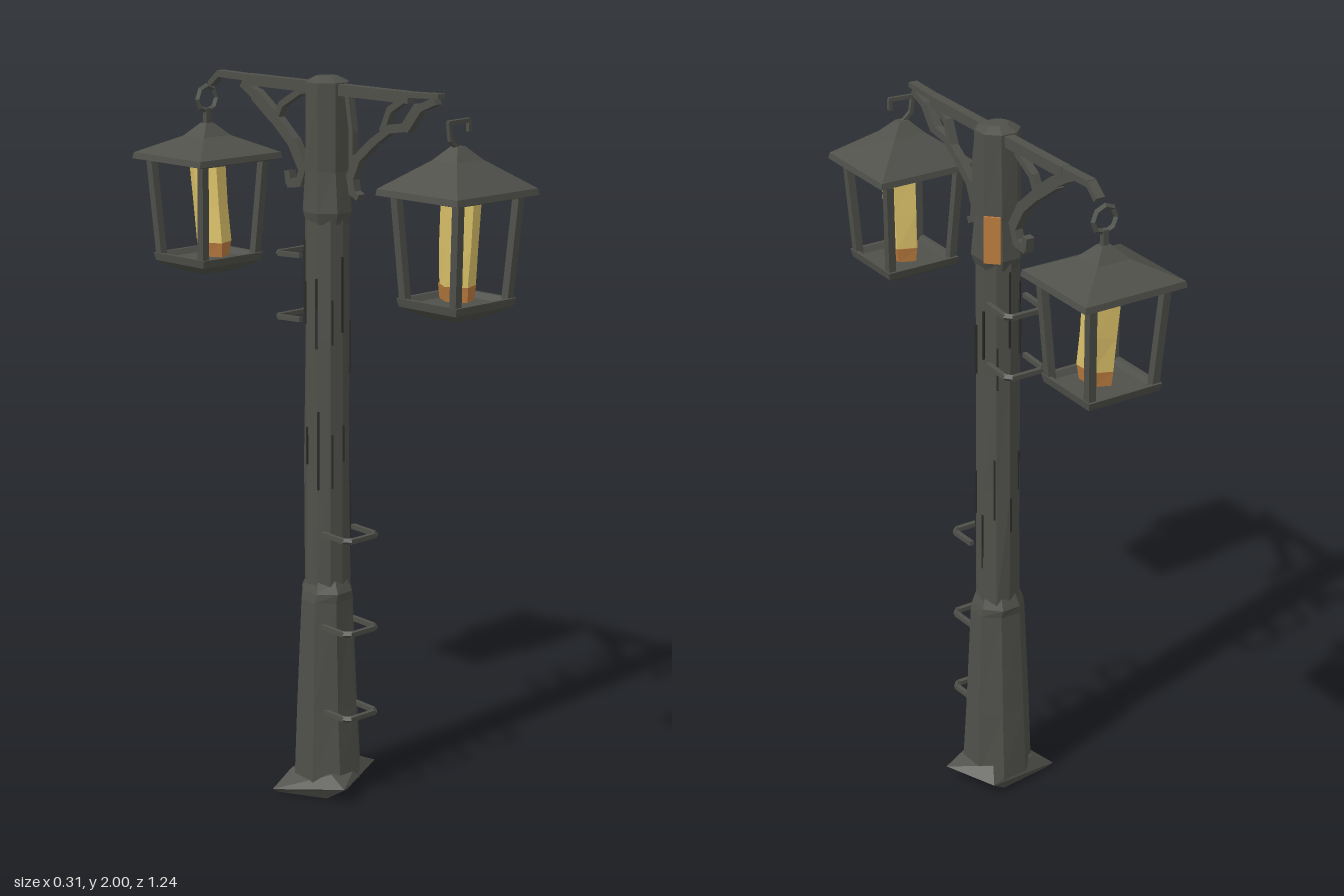
import * as THREE from 'three';

const iron = new THREE.MeshStandardMaterial({ color: 0x4f504a, name: 'darkIron', flatShading: true });
const crack = new THREE.MeshStandardMaterial({ color: 0x2b2c28, name: 'crackBlack', flatShading: true });
const glow = new THREE.MeshStandardMaterial({ color: 0xdcc269, name: 'glowYellow', flatShading: true, side: THREE.DoubleSide });
const amber = new THREE.MeshStandardMaterial({ color: 0xb87a3e, name: 'amber', flatShading: true, side: THREE.DoubleSide });

let seed = 7;
const rand = () => ((seed = (seed * 16807) % 2147483647) / 2147483647) * 2 - 1;

function add(parent, name, geometry, material = iron) {
  const mesh = new THREE.Mesh(geometry, material);
  mesh.name = name;
  parent.add(mesh);
  return mesh;
}

// Skins a stack of rings (bottom to top, each counter-clockwise from above) and caps both ends
function loft(rings) {
  const pos = [];
  const tri = (a, b, c) => pos.push(...a, ...b, ...c);
  const n = rings[0].length;
  const mid = (r) => [0, 1, 2].map((k) => r.reduce((s, p) => s + p[k], 0) / n);
  const last = rings[rings.length - 1];
  const low = mid(rings[0]), high = mid(last);
  for (let i = 0; i < n; i++) {
    const j = (i + 1) % n;
    for (let r = 0; r + 1 < rings.length; r++) {
      const a = rings[r], b = rings[r + 1];
      tri(a[i], a[j], b[j]);
      tri(a[i], b[j], b[i]);
    }
    tri(low, rings[0][j], rings[0][i]);
    tri(high, last[i], last[j]);
  }
  const g = new THREE.BufferGeometry();
  g.setAttribute('position', new THREE.Float32BufferAttribute(pos, 3));
  g.computeVertexNormals();
  return g;
}

// Rough round ring and rectangular ring
function ring(n, y, rx, rz, jitter = 0, cx = 0, cz = 0) {
  return Array.from({ length: n }, (_, i) => {
    const a = ((i + 0.5) / n) * Math.PI * 2, k = 1 + rand() * jitter;
    return [cx + Math.cos(a) * rx * k, y, cz - Math.sin(a) * rz * k];
  });
}
const rect = (y, hx, hz, cx = 0, cz = 0) =>
  [[1, -1], [-1, -1], [-1, 1], [1, 1]].map(([x, z]) => [cx + x * hx, y, cz + z * hz]);

// Straight bar between two points, and a chain of them
function bar(parent, name, a, b, w, d = w) {
  const p = new THREE.Vector3(...a), q = new THREE.Vector3(...b);
  const dir = q.clone().sub(p);
  const m = add(parent, name, new THREE.BoxGeometry(w, dir.length() + d * 0.4, d));
  m.position.copy(p).add(q).multiplyScalar(0.5);
  m.quaternion.setFromUnitVectors(new THREE.Vector3(0, 1, 0), dir.normalize());
}
function chain(parent, name, pts, w, depths) {
  for (let i = 0; i + 1 < pts.length; i++) {
    bar(parent, name, pts[i], pts[i + 1], w, Array.isArray(depths) ? depths[i] : depths);
  }
}

function makePost() {
  const post = new THREE.Group();
  post.name = 'post';
  // Skewed foot slab
  add(post, 'foot', loft([
    [[0.03, 0, -0.08], [-0.13, 0, -0.06], [-0.07, 0, 0.07], [0.02, 0, 0.06]],
    [[0.08, 0.04, -0.105], [-0.15, 0.012, -0.065], [-0.07, 0.045, 0.14], [0.15, 0.05, 0.04]],
    [[0.06, 0.08, -0.07], [-0.08, 0.06, -0.06], [-0.06, 0.07, 0.08], [0.08, 0.08, 0.05]],
  ]));
  // Flared lower shaft with a collar
  add(post, 'lowerShaft', loft([
    ring(8, 0.04, 0.1, 0.1, 0.04), ring(8, 0.25, 0.09, 0.087, 0.03),
    ring(8, 0.56, 0.078, 0.072, 0.03), ring(8, 0.585, 0.072, 0.076, 0.04), ring(8, 0.62, 0.06, 0.06),
  ]));
  // Upper shaft
  add(post, 'upperShaft', loft([
    ring(10, 0.58, 0.063, 0.064, 0.05), ring(10, 0.95, 0.061, 0.062, 0.05),
    ring(10, 1.3, 0.06, 0.061, 0.05), ring(10, 1.63, 0.06, 0.062, 0.04),
  ]));
  // Head block
  add(post, 'head', loft([
    ring(8, 1.61, 0.06, 0.063), ring(8, 1.64, 0.069, 0.072, 0.03),
    ring(8, 1.75, 0.062, 0.062, 0.02), ring(8, 1.985, 0.062, 0.06, 0.02), ring(8, 2, 0.03, 0.03),
  ]));
  // Rust patch on the head
  const patch = add(post, 'rustPatch', new THREE.BoxGeometry(0.045, 0.13, 0.008), amber);
  patch.position.set(0.0475, 1.7, -0.0475);
  patch.rotation.y = Math.PI * 0.75;
  // Dark cracks running down the shaft
  for (let i = 0; i < 20; i++) {
    const a = ((i % 10) / 10) * Math.PI * 2 + rand() * 0.1;
    const y = (i < 10 ? 0.88 : 1.35) + rand() * 0.15;
    const c = add(post, 'crack', new THREE.BoxGeometry(0.005, 0.16 + 0.06 * rand(), 0.009), crack);
    c.position.set(Math.sin(a) * 0.0595, y, Math.cos(a) * 0.0595);
    c.rotation.y = a;
  }
  return post;
}

function makeLantern(apex, lean) {
  const g = new THREE.Group();
  // Roof with overhanging eaves and a raised centre
  add(g, 'lanternRoof', loft([
    rect(1.725, 0.118, 0.112), rect(1.733, 0.153, 0.143), rect(1.75, 0.15, 0.14),
    rect(apex - 0.035, 0.05, 0.043), rect(apex, 0.014, 0.012),
  ]));
  // Tray with a tapered underside
  add(g, 'lanternTray', loft([
    rect(1.418, 0.062, 0.055), rect(1.445, 0.108, 0.1), rect(1.467, 0.112, 0.107), rect(1.467, 0.1, 0.095),
    rect(1.452, 0.09, 0.086),
  ]));
  // Corner bars
  for (const x of [-1, 1]) for (const z of [-1, 1]) {
    bar(g, 'cornerBar', [x * 0.097, 1.455, z * 0.088], [x * 0.112, 1.73, z * 0.108], 0.022);
  }
  // Glowing core, with an amber foot
  add(g, 'glowCore', loft([
    ring(5, 1.5, 0.046, 0.054, 0.06, 0.008, -lean),
    ring(5, 1.6, 0.048, 0.058, 0.04, 0.008),
    ring(5, 1.725, 0.05, 0.06, 0.04, 0.008, lean),
  ]), glow);
  add(g, 'glowFoot', loft([
    ring(5, 1.46, 0.04, 0.052, 0, 0.008, -lean), ring(5, 1.5, 0.047, 0.056, 0, 0.008, -lean),
  ]), amber);
  return g;
}

export function createModel() {
  const model = new THREE.Group();
  model.add(makePost());

  // Crossarm, tapering toward both tips
  add(model, 'crossarm', new THREE.BoxGeometry(0.028, 0.03, 0.62)).position.set(0, 1.967, 0);
  bar(model, 'armTip', [0, 1.974, 0.29], [0, 1.979, 0.415], 0.026, 0.014);
  chain(model, 'armTip', [[0, 1.972, -0.29], [0, 1.974, -0.42], [0, 1.945, -0.455]], 0.026, [0.018, 0.016]);

  // Curled brackets under the arm
  chain(model, 'frontBracket', [
    [0, 1.965, 0.4], [0, 1.94, 0.34], [0, 1.89, 0.3], [0, 1.88, 0.24], [0, 1.84, 0.18],
    [0, 1.79, 0.12], [0, 1.74, 0.098], [0, 1.7, 0.105], [0, 1.69, 0.125],
  ], 0.024, [0.02, 0.03, 0.022, 0.022, 0.024, 0.028, 0.024, 0.018]);
  chain(model, 'frontBracket', [[0, 1.96, 0.29], [0, 1.93, 0.24], [0, 1.875, 0.215]], 0.022, 0.018);
  chain(model, 'frontBracket', [[0, 1.95, 0.085], [0, 1.86, 0.1], [0, 1.77, 0.1]], 0.022, 0.014);
  chain(model, 'backBracket', [
    [0, 1.955, -0.32], [0, 1.925, -0.27], [0, 1.875, -0.2], [0, 1.81, -0.125],
    [0, 1.745, -0.085], [0, 1.705, -0.1], [0, 1.7, -0.14], [0, 1.73, -0.145],
  ], 0.024, [0.026, 0.035, 0.03, 0.032, 0.024, 0.024, 0.02]);
  chain(model, 'backBracket', [[0, 1.95, -0.1], [0, 1.91, -0.17], [0, 1.87, -0.19]], 0.022, 0.018);

  // Front lantern with a square open hook
  const front = makeLantern(1.858, 0.006);
  front.name = 'frontLantern';
  chain(front, 'hook', [
    [0, 1.85, 0], [-0.028, 1.875, 0], [-0.035, 1.92, 0], [0.035, 1.922, 0.004], [0.035, 1.895, 0.004],
  ], 0.011, 0.011);
  front.position.z = 0.477;
  model.add(front);

  // Back lantern with a ring hook
  const back = makeLantern(1.832, -0.012);
  back.name = 'backLantern';
  const hook = add(back, 'hook', new THREE.TorusGeometry(0.035, 0.008, 4, 8));
  hook.position.set(0, 1.9, 0);
  bar(back, 'hookStem', [0, 1.82, 0], [0, 1.87, 0], 0.016);
  back.position.z = -0.481;
  model.add(back);

  // Climbing rungs: three on the front, two on the back
  for (const [y, s] of [[0.245, 1], [0.49, 1], [0.755, 1], [1.34, -1], [1.515, -1]]) {
    const near = s * 0.045, far = s * 0.14;
    chain(model, 'rung', [
      [-0.058, y + 0.004, near], [-0.058, y, far - s * 0.015], [-0.045, y, far],
      [0.045, y, far], [0.058, y, far - s * 0.015], [0.058, y + 0.004, near],
    ], 0.013, 0.013);
  }
  return model;
}
